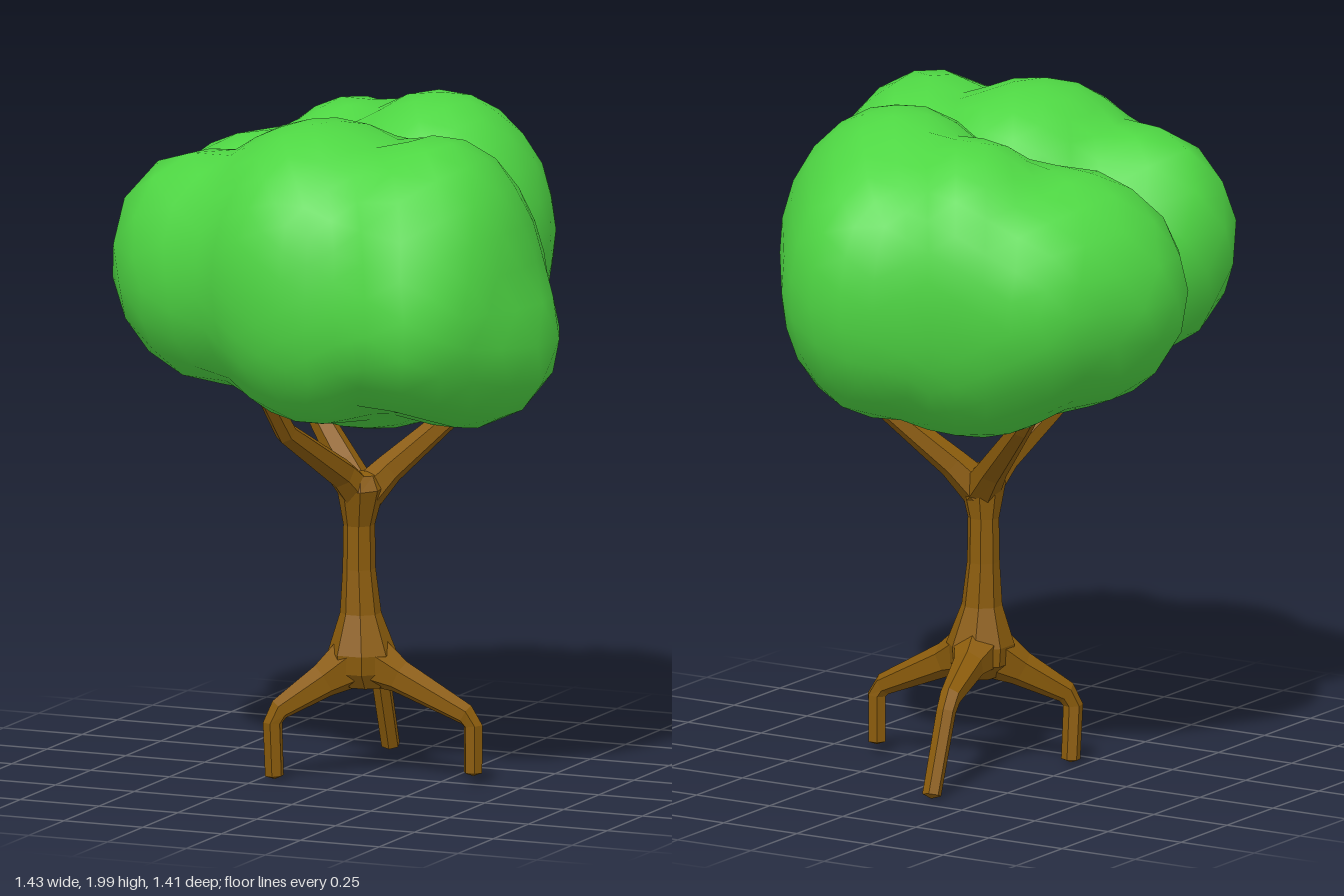
import * as THREE from 'three';
import { mergeVertices } from 'three/addons/utils/BufferGeometryUtils.js';

const V = (x, y, z) => new THREE.Vector3(x, y, z);

// Faceted limb lofted through [x, y, z, radius] points
function limb(points, material, name, sides = 6) {
  const pts = points.map((p) => V(p[0], p[1], p[2]));
  const n = pts.length;
  const run = pts[n - 1].clone().sub(pts[0]).setY(0);
  const side = run.length() < 0.05 ? V(1, 0, 0) : V(run.z, 0, -run.x).normalize();
  const pos = [], index = [];
  const ring = (c, t, r) => {
    const bin = t.clone().cross(side).normalize();
    for (let j = 0; j < sides; j++) {
      const a = ((j + 0.5) / sides) * Math.PI * 2;
      pos.push(...c.clone().addScaledVector(side, r * Math.cos(a)).addScaledVector(bin, r * Math.sin(a)).toArray());
    }
  };
  pts.forEach((c, i) => {
    const t = pts[Math.min(i + 1, n - 1)].clone().sub(pts[Math.max(i - 1, 0)]).normalize();
    if (i === 0) ring(c, t, 0.001);
    ring(c, t, points[i][3]);
    if (i === n - 1) ring(c.clone().addScaledVector(t, 0.01), t, 0.001);
  });
  for (let i = 0; i < n + 1; i++) {
    for (let j = 0; j < sides; j++) {
      const a = i * sides + j, b = i * sides + ((j + 1) % sides);
      index.push(a, b, b + sides, a, b + sides, a + sides);
    }
  }
  let g = new THREE.BufferGeometry();
  g.setAttribute('position', new THREE.Float32BufferAttribute(pos, 3));
  g.setIndex(index);
  g = g.toNonIndexed();
  g.computeVertexNormals();
  const mesh = new THREE.Mesh(g, material);
  mesh.name = name;
  return mesh;
}

// Lumpy foliage: a sphere pushed out to the soft union of ellipsoids [x, y, z, rx, ry, rz]
function foliage(centre, blobs, material, name) {
  let g = new THREE.IcosahedronGeometry(1, 5);
  g.deleteAttribute('normal');
  g.deleteAttribute('uv');
  g = mergeVertices(g, 1e-4);
  const p = g.attributes.position, dir = V(0, 0, 0);
  for (let i = 0; i < p.count; i++) {
    dir.fromBufferAttribute(p, i).normalize();
    let sum = 0;
    for (const [x, y, z, rx, ry, rz] of blobs) {
      const r = V(rx, ry, rz);
      const o = centre.clone().sub(V(x, y, z)).divide(r);
      const d = dir.clone().divide(r);
      const a = d.dot(d), b = o.dot(d), disc = b * b - a * (o.dot(o) - 1);
      if (disc < 0) continue;
      const t = (-b + Math.sqrt(disc)) / a;
      if (t > 0) sum += Math.pow(t, 28);
    }
    dir.multiplyScalar(Math.pow(sum, 1 / 28)).add(centre);
    p.setXYZ(i, dir.x, dir.y, dir.z);
  }
  g.computeVertexNormals();
  const mesh = new THREE.Mesh(g, material);
  mesh.name = name;
  return mesh;
}

export function createModel() {
  const bark = new THREE.MeshStandardMaterial({ color: 0x8b5c0c });
  bark.name = 'bark brown';
  const leaf = new THREE.MeshStandardMaterial({ color: 0x4ed643 });
  leaf.name = 'leaf green';
  const tree = new THREE.Group();
  tree.name = 'tree';

  // Trunk, flared where roots and branches meet
  tree.add(limb([
    [0.01, 0.275, 0, 0.06], [0, 0.32, 0, 0.095], [0, 0.375, 0, 0.1], [-0.005, 0.49, 0, 0.06],
    [-0.01, 0.62, 0, 0.048], [-0.01, 0.75, 0, 0.046], [0, 0.86, 0.01, 0.07], [0, 0.9, 0.01, 0.05],
  ], bark, 'trunk', 8));

  // Stilt roots with bent knees
  const roots = {
    leftRoot: [[0, 0.365, 0, 0.09], [0.12, 0.31, 0, 0.05], [0.325, 0.212, -0.01, 0.032], [0.345, 0.18, -0.015, 0.029], [0.345, 0.042, -0.015, 0.028]],
    rightRoot: [[0, 0.365, 0, 0.09], [-0.09, 0.295, 0.075, 0.052], [-0.19, 0.218, 0.165, 0.033], [-0.205, 0.18, 0.178, 0.029], [-0.205, 0.022, 0.165, 0.028]],
    backRoot: [[0, 0.365, 0, 0.09], [-0.035, 0.335, -0.12, 0.048], [-0.085, 0.285, -0.3, 0.032], [-0.093, 0.25, -0.335, 0.029], [-0.1, 0.02, -0.425, 0.028]],
  };
  // Branches reaching into the foliage
  const branches = {
    leftBranch: [[0, 0.83, 0, 0.058], [0.065, 0.91, -0.045, 0.045], [0.24, 1.085, -0.155, 0.031], [0.32, 1.19, -0.2, 0.025]],
    rightBranch: [[0, 0.83, 0, 0.058], [-0.075, 0.91, -0.055, 0.045], [-0.25, 1.08, -0.175, 0.031], [-0.34, 1.18, -0.23, 0.025]],
    frontBranch: [[0, 0.83, 0, 0.058], [-0.03, 0.91, 0.08, 0.045], [-0.09, 1.07, 0.34, 0.033], [-0.105, 1.175, 0.42, 0.03]],
  };
  for (const [name, path] of Object.entries({ ...roots, ...branches })) tree.add(limb(path, bark, name));

  // Two overlapping foliage masses
  tree.add(foliage(V(0.05, 1.5, 0.26), [
    [0.0, 1.57, 0.31, 0.38, 0.42, 0.39],
    [0.02, 1.61, 0.19, 0.34, 0.36, 0.28],
    [0.36, 1.57, 0.3, 0.29, 0.4, 0.37],
    [0.29, 1.58, 0.18, 0.28, 0.35, 0.27],
    [0.43, 1.38, 0.25, 0.285, 0.27, 0.3],
    [0.38, 1.5, 0.09, 0.22, 0.31, 0.24],
    [-0.3, 1.54, 0.33, 0.32, 0.34, 0.27],
    [-0.36, 1.6, 0.33, 0.25, 0.28, 0.22],
    [0.38, 1.46, 0.43, 0.24, 0.29, 0.28],
    [0.09, 1.42, 0.17, 0.42, 0.35, 0.3],
    [0.05, 1.46, 0.4, 0.34, 0.34, 0.3],
  ], leaf, 'frontFoliage'));
  tree.add(foliage(V(-0.05, 1.5, -0.21), [
    [0.14, 1.59, -0.22, 0.34, 0.41, 0.36],
    [0.09, 1.52, -0.37, 0.29, 0.4, 0.34],
    [0.05, 1.42, -0.37, 0.28, 0.29, 0.29],
    [-0.15, 1.54, -0.29, 0.3, 0.41, 0.33],
    [-0.38, 1.49, -0.09, 0.34, 0.34, 0.29],
    [-0.36, 1.56, -0.13, 0.31, 0.3, 0.29],
    [-0.33, 1.5, -0.27, 0.3, 0.33, 0.27],
    [-0.12, 1.4, -0.24, 0.4, 0.34, 0.34],
    [0.16, 1.4, -0.22, 0.28, 0.3, 0.32],
  ], leaf, 'backFoliage'));
  return tree;
}
